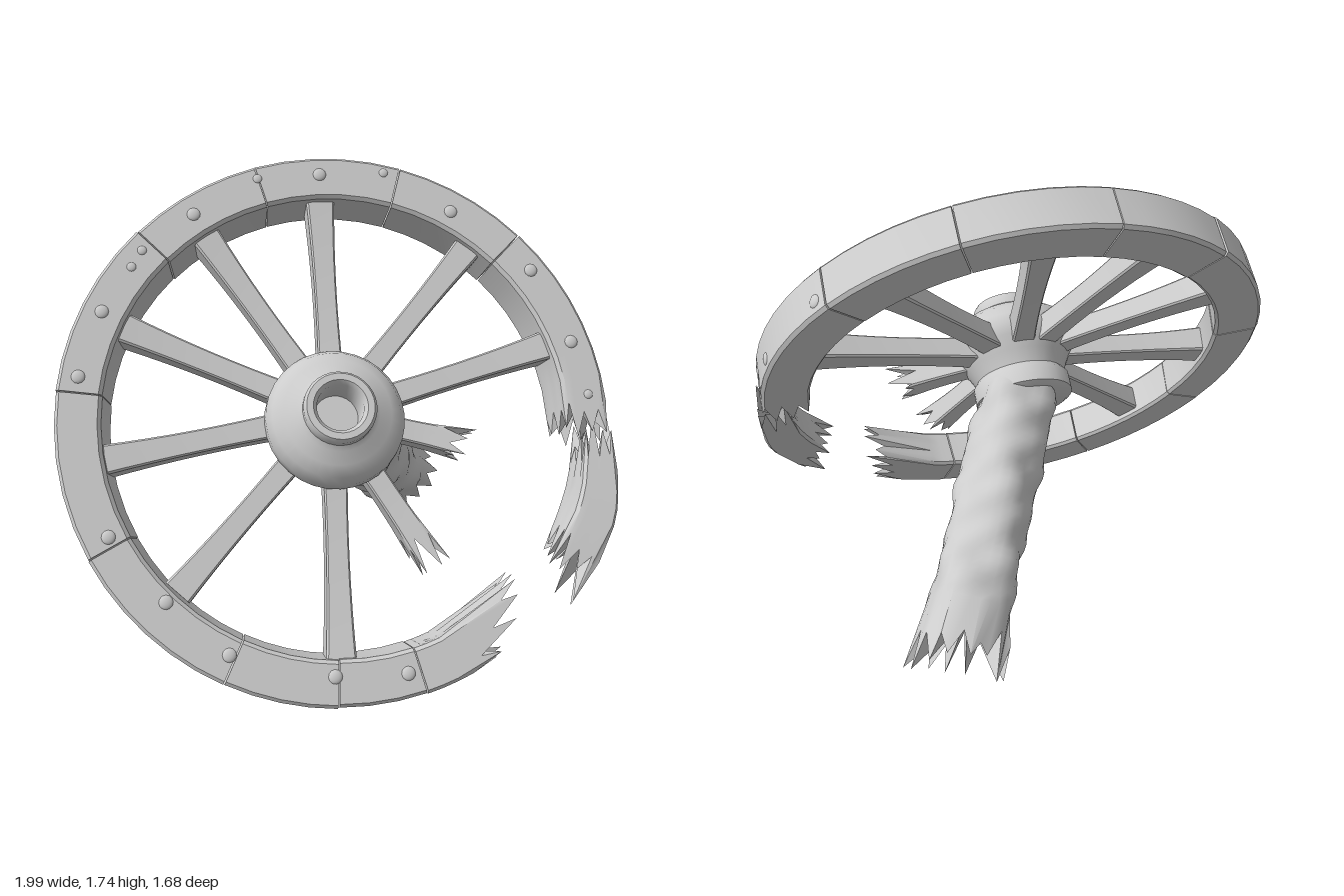
import * as THREE from 'three';
import { toCreasedNormals } from 'three/addons/utils/BufferGeometryUtils.js';

const DEG = Math.PI / 180;
const R_IN = 0.818, R_OUT = 0.988, HALF = 0.085;

// repeatable pseudo-random value in 0..1
const rnd = (i, seed) => {
  const s = Math.sin(i * 12.9898 + seed * 78.233) * 43758.5453;
  return s - Math.floor(s);
};
// splinter length: every other edge point sticks out
const splinter = (j, seed) => (j % 2 ? 0.45 + 0.55 * rnd(j, seed) : 0.3 * rnd(j, seed));

// rectangular cross-section with clipped corners, m points per side
function rect(w, h, m = 2, bevel = 0.08, ca = 0) {
  const pts = [];
  for (let k = 0; k < 4; k++) {
    for (let i = 0; i < m; i++) {
      const s = (1 - 2 * bevel) * ((2 * i) / (m - 1) - 1);
      const [x, y] = [[1, s], [-s, 1], [-1, -s], [s, -1]][k];
      pts.push([ca + (x * w) / 2, (y * h) / 2]);
    }
  }
  return pts;
}

// sweeps a section along place(t, a, b); each edge point has its own start and end
function beam(place, section, n, lo, hi, centre = 0, crease = 0.6) {
  const m = section.length, pos = [], idx = [];
  const starts = section.map(([a, b], j) => lo(j, a, b));
  const ends = section.map(([a, b], j) => hi(j, a, b));
  const first = Math.max(...starts), last = Math.min(...ends);
  for (let i = 0; i <= n; i++) {
    section.forEach(([a, b], j) => {
      const inner = first + ((last - first) * i) / n;
      pos.push(...place(i === 0 ? starts[j] : i === n ? ends[j] : inner, a, b));
    });
  }
  pos.push(...place(first, centre, 0), ...place(last, centre, 0));
  const c0 = (n + 1) * m, c1 = c0 + 1;
  for (let j = 0; j < m; j++) {
    const k = (j + 1) % m;
    for (let i = 0; i < n; i++) {
      const p = i * m + j, q = i * m + k;
      idx.push(p, q, q + m, p, q + m, p + m);
    }
    idx.push(c0, k, j, c1, n * m + j, n * m + k);
  }
  const g = new THREE.BufferGeometry();
  g.setAttribute('position', new THREE.Float32BufferAttribute(pos, 3));
  g.setIndex(idx);
  return toCreasedNormals(g, crease);
}

export function createModel() {
  const wood = new THREE.MeshStandardMaterial({ color: 0xcccccc });
  wood.name = 'pale grey wood';
  const model = new THREE.Group();
  model.name = 'brokenWheel';

  // leaning wheel: local z is the wheel's axis
  const wheel = new THREE.Group();
  wheel.name = 'wheel';
  wheel.position.set(-0.008, 0.872, 0.245);
  wheel.rotation.x = -0.57;
  model.add(wheel);
  const add = (name, geometry, parent = wheel) => {
    const mesh = new THREE.Mesh(geometry, wood);
    mesh.name = name;
    parent.add(mesh);
    return mesh;
  };

  // rim pieces, angles in degrees; the inner face slopes in towards the back
  const mid = (R_IN + R_OUT) / 2;
  const onRim = (t, a, b) => {
    const r = a - (R_OUT - a) * 0.08 * (b / HALF);
    return [r * Math.cos(t * DEG), r * Math.sin(t * DEG), -b];
  };
  const rimPiece = (lo, hi, n, m = 2, place = onRim) =>
    add('rimPiece', beam(place, rect(R_OUT - R_IN, 2 * HALF, m, 0.07, mid), n, lo, hi, mid));
  const seams = [42, 72, 104, 133, 171, 206, 242, 265, 283];
  for (let i = 0; i < seams.length - 1; i++) {
    const a = seams[i] + 0.15, b = seams[i + 1] - 0.15;
    const grow = 1 + 0.008 * (rnd(i, 3) - 0.5);
    rimPiece(() => a, () => b, Math.ceil((b - a) / 7), 2,
      (t, r, z) => onRim(t, r * grow, z));
  }
  // splintered bottom end, longer along its inner edge
  rimPiece(() => 283.15, (j, a) => 293 + 11 * (R_OUT - a) / 0.165 + 13 * splinter(j, 2), 3, 6);
  // splintered right end and the piece hanging from it
  rimPiece((j) => 1 - 9 * splinter(j, 5), () => 41.85, 7, 6);
  rimPiece((j, a) => -29 - 12 * splinter(j, 8) - 24 * (a - R_IN),
    (j) => -15 + 14 * splinter(j, 4), 4, 6, (t, a, b) => {
      const thin = THREE.MathUtils.clamp((-t - 2) / 22, 0, 1);
      const [x, y, z] = onRim(t, R_OUT - (R_OUT - a) * (0.55 + 0.4 * thin), b * (0.75 + 0.2 * thin));
      return [x + 0.06 * thin + 0.01, y - 0.01 * thin, z];
    });

  // spokes: end point in the wheel plane, and whether snapped
  const hubX = -0.015, hubY = 0.03;
  const spokes = [
    [0, 0.84], [-0.43, 0.71], [-0.74, 0.38], [-0.83, -0.09], [-0.6, -0.56], [-0.06, -0.83],
    [0.3, -0.53, true], [0.47, -0.11, true], [0.79, 0.24], [0.54, 0.63],
  ];
  spokes.forEach(([x, y, snapped], i) => {
    const dx = x - hubX, dy = y - hubY, len = Math.hypot(dx, dy);
    const place = (t, a, b) => {
      const s = 0.08 + 0.026 * (2 * t - 1) ** 2;
      return [a * s, t * len, -b * s * 1.05];
    };
    const end = snapped ? (j) => 0.78 + 0.26 * splinter(j, i) : () => 1;
    const spoke = add(snapped ? 'snappedSpoke' : 'spoke',
      beam(place, rect(1, 1, snapped ? 4 : 2, 0.07), 8, () => 0.2, end));
    spoke.position.set(hubX, hubY, 0);
    spoke.rotation.z = Math.atan2(dy, dx) - Math.PI / 2;
  });

  // turned hub with an open nose
  const profile = [
    [0, -0.2], [0.165, -0.2], [0.19, -0.185], [0.19, -0.12], [0.175, -0.1], [0.2, -0.05],
    [0.235, 0], [0.25, 0.04], [0.248, 0.08], [0.228, 0.12], [0.19, 0.15], [0.145, 0.168],
    [0.128, 0.182], [0.128, 0.212], [0.118, 0.226], [0.095, 0.226], [0.082, 0.21], [0.08, 0.08], [0, 0.08],
  ].map(([r, h]) => new THREE.Vector2(r, h));
  const hubGeometry = new THREE.LatheGeometry(profile, 32).rotateX(Math.PI / 2);
  const hub = add('hub', toCreasedNormals(hubGeometry, 0.7));
  hub.position.set(hubX, 0, 0);
  hub.rotation.x = -0.08;

  // round-headed studs on the front face, in wheel-plane coordinates
  const head = new THREE.SphereGeometry(0.025, 12, 6, 0, Math.PI * 2, 0, Math.PI / 2).scale(1, 0.45, 1);
  const studs = [
    [0, 0.92], [-0.47, 0.78], [-0.81, 0.43], [-0.9, 0.2], [-0.82, -0.36], [-0.64, -0.59], [-0.44, -0.78],
    [-0.09, -0.88], [0.16, -0.89], [0.48, 0.76], [0.76, 0.52], [0.88, 0.24], [-0.7, 0.59], [-0.66, 0.65],
    [-0.23, 0.91], [0.24, 0.92], [0.92, 0.04],
  ];
  studs.forEach(([x, y], i) => {
    const stud = add('frontStud', head);
    stud.position.set(x, y, HALF - 0.002);
    stud.rotation.x = Math.PI / 2;
    stud.scale.setScalar(i < 12 ? 1 : 0.7);
  });
  // studs on the outer edge
  for (const a of [-19, 16, 39]) {
    const stud = add('edgeStud', head);
    stud.position.set(...onRim(a, R_OUT - 0.004, 0.03));
    stud.rotation.z = a * DEG - Math.PI / 2;
  }

  // rough axle, broken off behind the wheel
  const from = new THREE.Vector3(0, 0.8, 0.1), to = new THREE.Vector3(0.46, 0.18, -0.77);
  const along = to.clone().sub(from).normalize();
  const side = new THREE.Vector3(0, 1, 0).cross(along).normalize();
  const up = along.clone().cross(side);
  const ring = Array.from({ length: 28 }, (_, j) => {
    const a = (j / 28) * Math.PI * 2;
    return [Math.cos(a), Math.sin(a)];
  });
  const onAxle = (t, a, b) => {
    const ang = Math.atan2(b, a);
    const bumps = 0.007 * Math.sin(4 * ang + 9 * t) + 0.006 * Math.sin(31 * t + 3 * ang)
      + 0.004 * Math.sin(47 * t - 4 * ang);
    const r = 0.146 + bumps + 0.05 * Math.max(0, t - 0.6);
    return from.clone().lerp(to, t).addScaledVector(side, a * r).addScaledVector(up, b * r).toArray();
  };
  // upper side reaches further than the lower one
  add('brokenAxle', beam(onAxle, ring, 32, () => 0,
    (j, a, b) => 0.81 + 0.04 * b + 0.17 * splinter(j, 6), 0, 0.9), model);

  return model;
}
